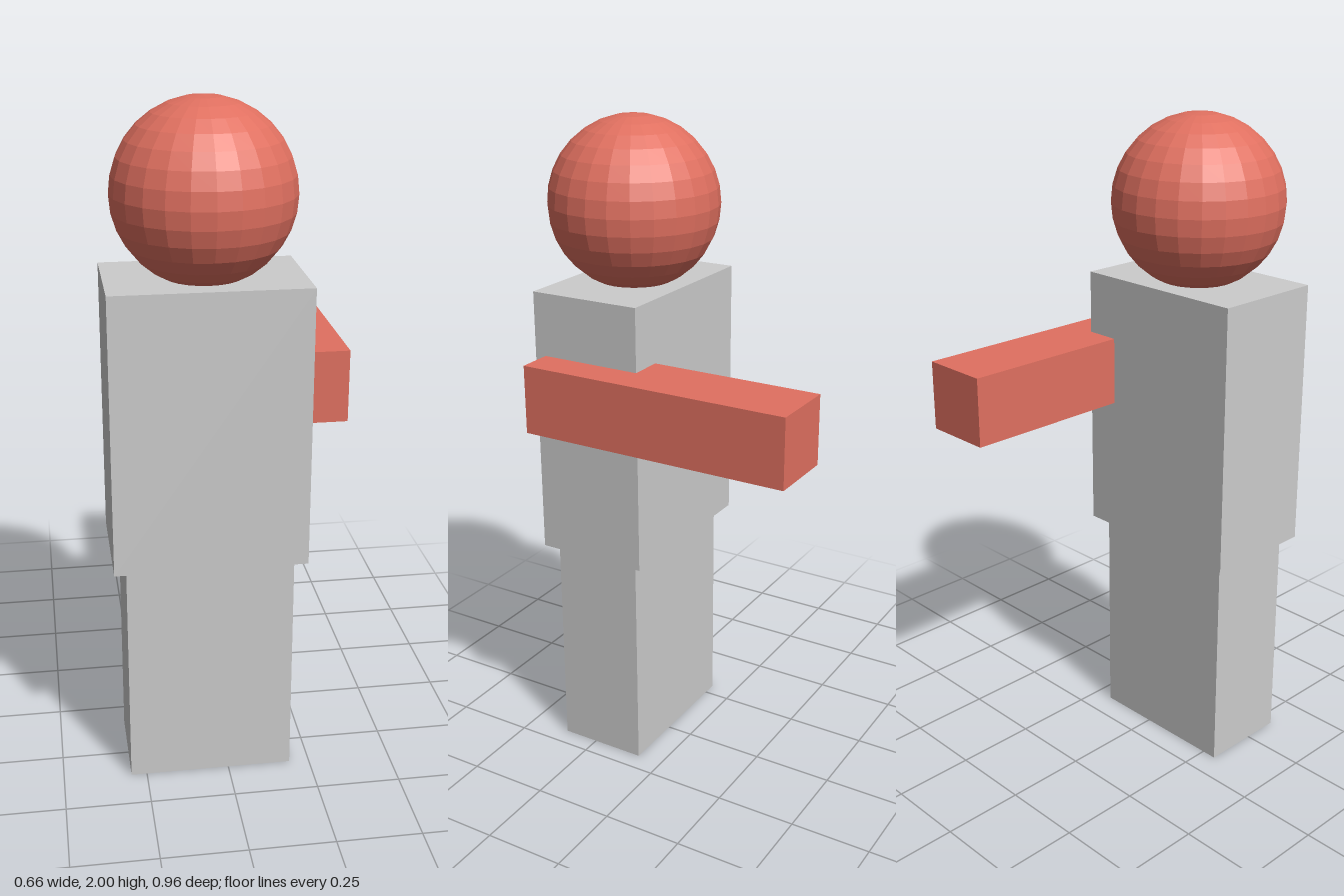
import * as THREE from 'three';

export function createModel() {
  const group = new THREE.Group();
  const grey = new THREE.MeshStandardMaterial({ color: 0xcccccc, flatShading: true });
  const red = new THREE.MeshStandardMaterial({ color: 0xe07060, flatShading: true });

  const add = (name, geometry, material, x, y, z) => {
    const mesh = new THREE.Mesh(geometry, material);
    mesh.name = name;
    mesh.position.set(x, y, z);
    group.add(mesh);
  };

  // Block spanning the given range on each axis
  const block = (name, material, [x0, x1], [y0, y1], [z0, z1]) =>
    add(name, new THREE.BoxGeometry(x1 - x0, y1 - y0, z1 - z0), material,
      (x0 + x1) / 2, (y0 + y1) / 2, (z0 + z1) / 2);

  block('legs', grey, [-0.297, 0.19], [0, 0.698], [0.083, 0.365]);
  block('torso', grey, [-0.333, 0.225], [0.698, 1.515], [0.046, 0.396]);

  // Single arm on the left side, reaching backwards
  block('arm', red, [0.122, 0.332], [1.118, 1.325], [-0.479, 0.361]);

  // Faceted ball head, sunk slightly into the torso
  add('head', new THREE.SphereGeometry(0.256, 24, 16), red, -0.053, 1.744, 0.222);

  return group;
}
